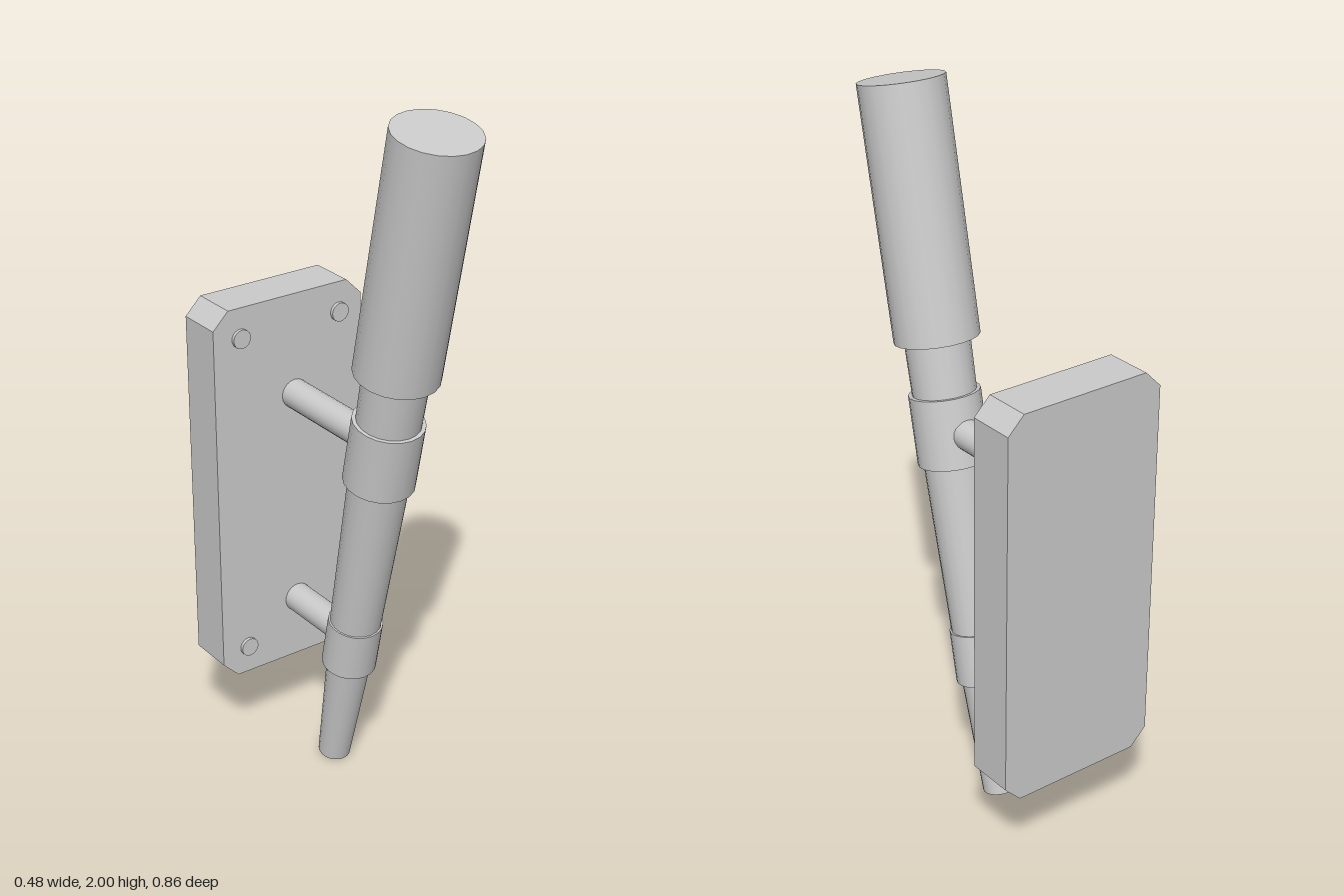
import * as THREE from 'three';

export function createModel() {
  const model = new THREE.Group();
  const grey = new THREE.MeshStandardMaterial({ color: 0xcccccc });
  const add = (name, geometry, parent = model) => {
    const mesh = new THREE.Mesh(geometry, grey);
    mesh.name = name;
    parent.add(mesh);
    return mesh;
  };

  // Wall plate with chamfered corners
  const x = 0.24, y0 = 0.245, y1 = 1.372, c = 0.048;
  const outline = new THREE.Shape([
    [-x + c, y0], [x - c, y0], [x, y0 + c], [x, y1 - c],
    [x - c, y1], [-x + c, y1], [-x, y1 - c], [-x, y0 + c],
  ].map(([px, py]) => new THREE.Vector2(px, py)));
  const plate = add('wallPlate', new THREE.ExtrudeGeometry(outline, { depth: 0.135, bevelEnabled: false }));
  plate.position.z = -0.43;

  // Rods and bolts running along z
  const rod = (name, radius, px, py, z0, z1) => {
    const geometry = new THREE.CylinderGeometry(radius, radius, z1 - z0, 20).rotateX(Math.PI / 2);
    add(name, geometry).position.set(px, py, (z0 + z1) / 2);
  };
  for (const px of [-0.155, 0.166])
    for (const py of [0.328, 1.285]) rod('bolt', 0.027, px, py, -0.31, -0.285);
  rod('upperArm', 0.042, 0.018, 1.078, -0.31, 0.07);
  rod('lowerArm', 0.042, 0.018, 0.432, -0.31, -0.04);

  // Leaning torch, built upward from its lower tip
  const torch = new THREE.Group();
  torch.name = 'torch';
  torch.position.set(0.013, 0.01, -0.11);
  torch.rotation.x = 0.2128;
  model.add(torch);

  const section = (name, s0, s1, r0, r1 = r0) => {
    const geometry = new THREE.CylinderGeometry(r1, r0, s1 - s0, 20);
    add(name, geometry, torch).position.y = (s0 + s1) / 2;
  };
  section('tip', 0, 0.42, 0.046, 0.066);
  section('shaft', 0.42, 1.08, 0.07, 0.085);
  section('neck', 1.08, 1.34, 0.086, 0.089);
  section('lowerCollar', 0.345, 0.497, 0.077);
  section('upperCollar', 0.985, 1.179, 0.098);
  section('torchHead', 1.327, 2.012, 0.116);

  return model;
}
